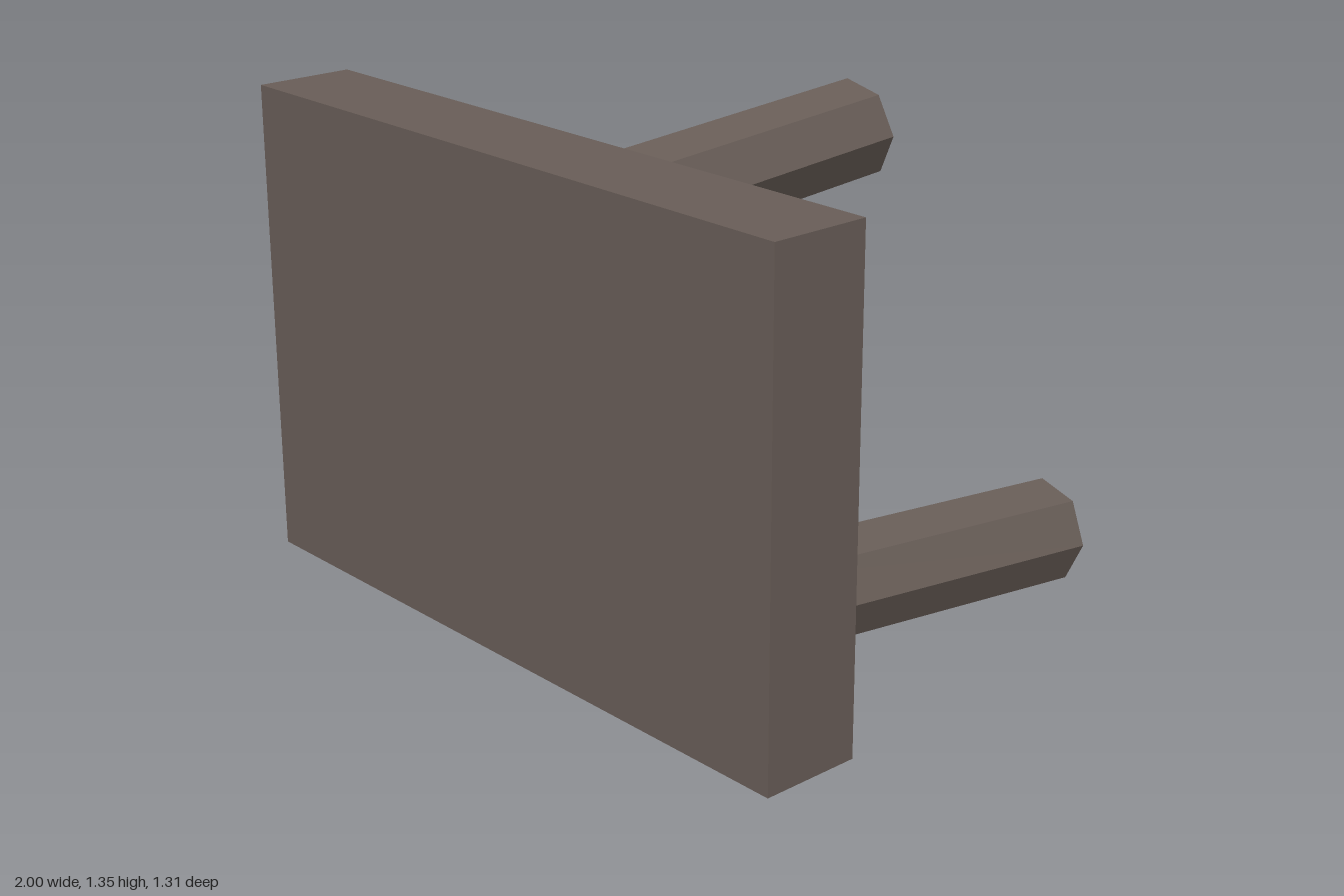
import * as THREE from 'three';

export function createModel() {
  const model = new THREE.Group();
  const darkWood = new THREE.MeshStandardMaterial({ color: 0x685d57, flatShading: true });
  darkWood.name = 'darkWood';

  // upright board
  const board = new THREE.Mesh(new THREE.BoxGeometry(2, 1.35, 0.282), darkWood);
  board.name = 'board';
  board.position.set(0, 0.675, 0.514);
  model.add(board);

  // seven-sided peg running backwards, its root sunk into the board
  const sink = 0.04;
  function addPeg(name, root, tip) {
    const a = new THREE.Vector3(...root), b = new THREE.Vector3(...tip);
    const dir = b.clone().sub(a).normalize();
    a.addScaledVector(dir, -sink);
    const geometry = new THREE.CylinderGeometry(0.14, 0.14, a.distanceTo(b), 7, 1, false, Math.PI / 2);
    geometry.rotateX(-Math.PI / 2);
    const peg = new THREE.Mesh(geometry, darkWood);
    peg.name = name;
    peg.quaternion.setFromUnitVectors(new THREE.Vector3(0, 0, -1), dir);
    peg.position.copy(a).add(b).multiplyScalar(0.5);
    model.add(peg);
  }

  // splayed pegs: one above, two below
  addPeg('upperPeg', [0, 1.128, 0.373], [0, 1.199, -0.638]);
  for (const side of [-1, 1]) {
    addPeg(side > 0 ? 'lowerLeftPeg' : 'lowerRightPeg',
      [side * 0.64, 0.281, 0.373], [side * 0.738, 0.219, -0.642]);
  }
  return model;
}
